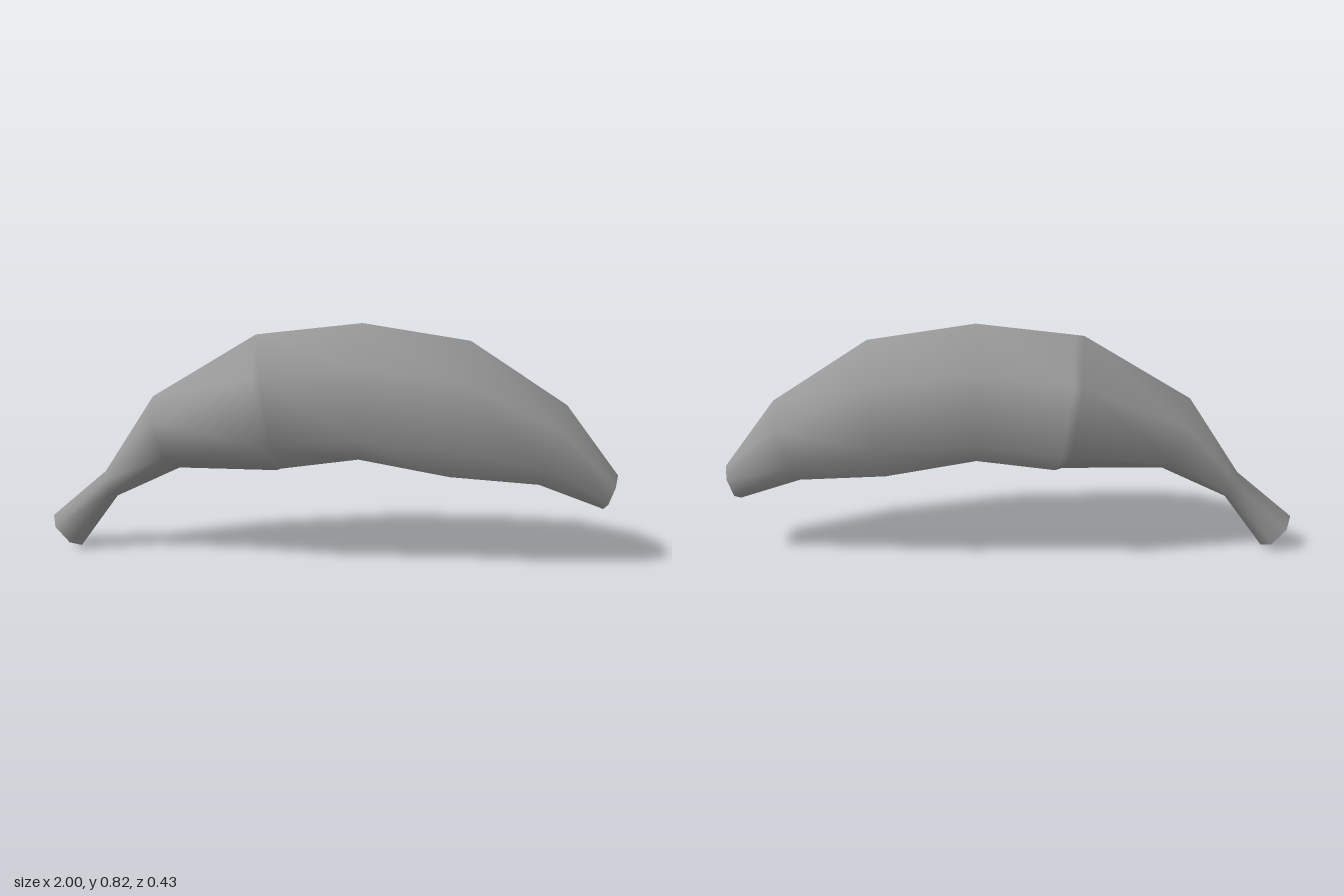
import * as THREE from 'three';
import { mergeVertices } from 'three/addons/utils/BufferGeometryUtils.js';

// Rings along the fruit: top x, top y, bottom x, bottom y, half width,
// slit half width, slit lift, hollow depth
const RINGS = [
  [-1.0, 0.11, -0.9, 0.0, 0.062, 0, 0, 0],
  [-0.8, 0.28, -0.76, 0.19, 0.05, 0, 0, 0],
  [-0.62, 0.555, -0.53, 0.3, 0.135, 0, 0, 0],
  [-0.25, 0.78, -0.18, 0.3, 0.215, 0, 0, 0],
  [-0.22, 0.784, -0.15, 0.302, 0.215, 0.1, 0.028, 0.09],
  [0.12, 0.825, 0.12, 0.335, 0.212, 0.125, 0.04, 0.1],
  [0.49, 0.77, 0.43, 0.32, 0.207, 0.135, 0.005, 0.1],
  [0.82, 0.555, 0.73, 0.295, 0.145, 0.085, 0, 0.04],
  [1.0, 0.315, 0.955, 0.195, 0.058, 0, 0, 0],
];
const SLIT_START = 3;

// Point at fraction t from the top to the bottom of a ring
function ringPoint([tx, ty, bx, by], t, z, lift = 0) {
  return new THREE.Vector3(tx + (bx - tx) * t, ty + (by - ty) * t + lift, z);
}

// Six-sided section, open at the slit underneath
function skinSection(r) {
  const [, , , , w, slit, lift] = r;
  return [
    ringPoint(r, 1, slit, lift), ringPoint(r, 0.75, w), ringPoint(r, 0.25, w),
    ringPoint(r, 0, 0),
    ringPoint(r, 0.25, -w), ringPoint(r, 0.75, -w), ringPoint(r, 1, -slit, lift),
  ];
}

// Recessed section between the two lips of the slit
function hollowSection(r) {
  const [, , , , , slit, lift, depth] = r;
  return [
    ringPoint(r, 1, -slit, lift), ringPoint(r, 1, 0, depth), ringPoint(r, 1, slit, lift),
  ];
}

// Smooth surface through the sections, welded where the slit is closed
function loft(sections) {
  const n = sections[0].length;
  const index = [];
  for (let i = 0; i < sections.length - 1; i++) {
    for (let j = 0; j < n - 1; j++) {
      const a = i * n + j, b = a + n;
      index.push(a, b, a + 1, b, b + 1, a + 1);
    }
  }
  const open = new THREE.BufferGeometry().setFromPoints(sections.flat());
  open.setIndex(index);
  const geometry = mergeVertices(open);
  geometry.computeVertexNormals();
  return geometry;
}

function cap(section, flip) {
  const geometry = new THREE.BufferGeometry().setFromPoints(section);
  const index = [];
  for (let k = 1; k < section.length - 2; k++) {
    index.push(0, flip ? k + 1 : k, flip ? k : k + 1);
  }
  geometry.setIndex(index);
  geometry.computeVertexNormals();
  return geometry;
}

export function createModel() {
  const group = new THREE.Group();
  group.name = 'banana';
  const material = new THREE.MeshStandardMaterial({ color: 0x999999 });
  const add = (name, geometry) => {
    const mesh = new THREE.Mesh(geometry, material);
    mesh.name = name;
    group.add(mesh);
    return mesh;
  };

  // Peel and the hollow under it
  const skin = RINGS.map(skinSection);
  add('peel', loft(skin));
  add('hollow', loft(RINGS.slice(SLIT_START).map(hollowSection)));

  // Flat ends
  add('stemEnd', cap(skin[0], false));
  add('tipEnd', cap(skin[skin.length - 1], true));

  // Round lumps showing in the slit
  for (const x of [0.02, 0.27]) {
    add('lump', new THREE.SphereGeometry(0.11, 8, 6)).position.set(x, 0.45, 0);
  }
  return group;
}
